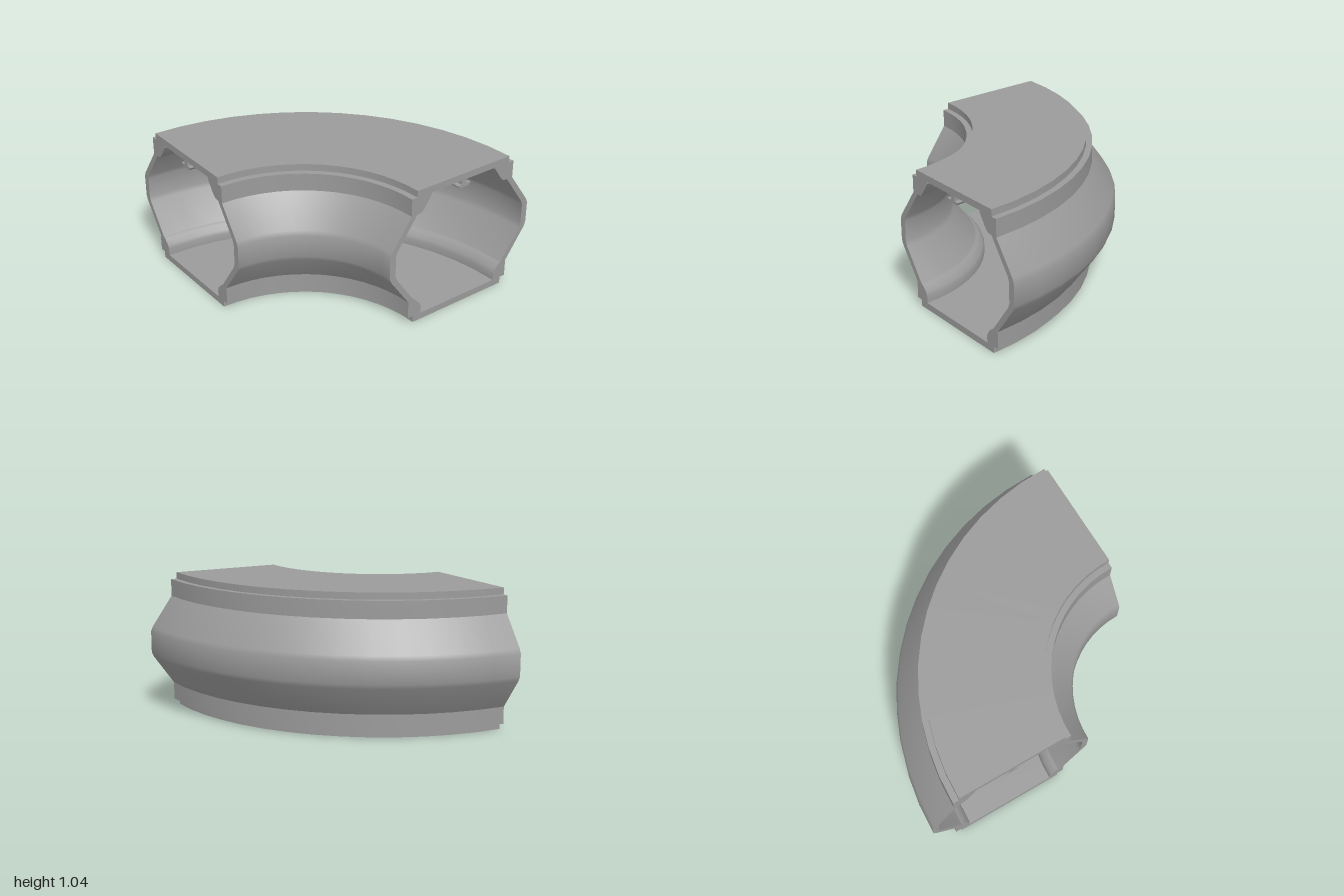
import * as THREE from 'three';
import { mergeGeometries, toCreasedNormals } from 'three/addons/utils/BufferGeometryUtils.js';

const MID = 1.365; // radius of the corridor's centre line
const SEGMENTS = 14;
const material = new THREE.MeshStandardMaterial({ color: 0x9b9b9b });

// Sweeps a closed counter-clockwise (radius, y) section through a quarter turn, with end caps
function sweep(section) {
  const pts = section.map(([r, y]) => new THREE.Vector2(r, y));
  const skin = new THREE.LatheGeometry([...pts, pts[0].clone()], SEGMENTS, Math.PI / 2, Math.PI / 2);
  const frontCap = new THREE.ShapeGeometry(new THREE.Shape(pts));
  const sideCap = new THREE.ShapeGeometry(new THREE.Shape(pts.map(p => new THREE.Vector2(-p.x, p.y))));
  sideCap.rotateY(-Math.PI / 2);
  const merged = mergeGeometries([skin, frontCap, sideCap].map(g => g.toNonIndexed()));
  return toCreasedNormals(merged, 0.5);
}

// Offsets from the centre line become radii; side -1 mirrors the section
function place(section, side = 1) {
  const out = section.map(([d, y]) => [MID + side * d, y]);
  return side < 0 ? out.reverse() : out;
}

const slab = y => [[-0.415, y], [0.415, y], [0.415, y + 0.05], [-0.415, y + 0.05]];

// Outer face going up, then inner face going down
const wall = [
  [0.46, 0.18], [0.62, 0.405], [0.635, 0.44], [0.635, 0.605], [0.62, 0.64], [0.46, 0.865],
  [0.41, 0.865], [0.572, 0.635], [0.585, 0.6], [0.585, 0.445], [0.572, 0.41], [0.41, 0.18],
];
const lowerBeam = [
  [0.345, 0.05], [0.46, 0.05], [0.46, 0.18], [0.41, 0.18], [0.388, 0.168], [0.355, 0.13], [0.345, 0.105],
];
const upperBeam = [
  [0.375, 0.868], [0.4, 0.865], [0.46, 0.865], [0.46, 0.995], [0.29, 0.995], [0.29, 0.98], [0.35, 0.89],
];
// Hanging T-shaped rail under the ceiling
const rail = [
  [-0.04, 0.94], [0.04, 0.94], [0.06, 0.962], [0.02, 0.962], [0.02, 0.998],
  [-0.02, 0.998], [-0.02, 0.962], [-0.06, 0.962],
];

export function createModel() {
  const model = new THREE.Group();
  model.name = 'curvedCorridor';
  const add = (name, section) => {
    const mesh = new THREE.Mesh(sweep(section), material);
    mesh.name = name;
    mesh.position.set(-1, 0, 1); // centre of the bend
    model.add(mesh);
  };

  add('floor', place(slab(0)));
  add('ceiling', place(slab(0.995)));
  add('ceilingRail', place(rail));
  for (const [label, side] of [['outer', 1], ['inner', -1]]) {
    add(label + 'Wall', place(wall, side));
    add(label + 'LowerBeam', place(lowerBeam, side));
    add(label + 'UpperBeam', place(upperBeam, side));
  }
  return model;
}
